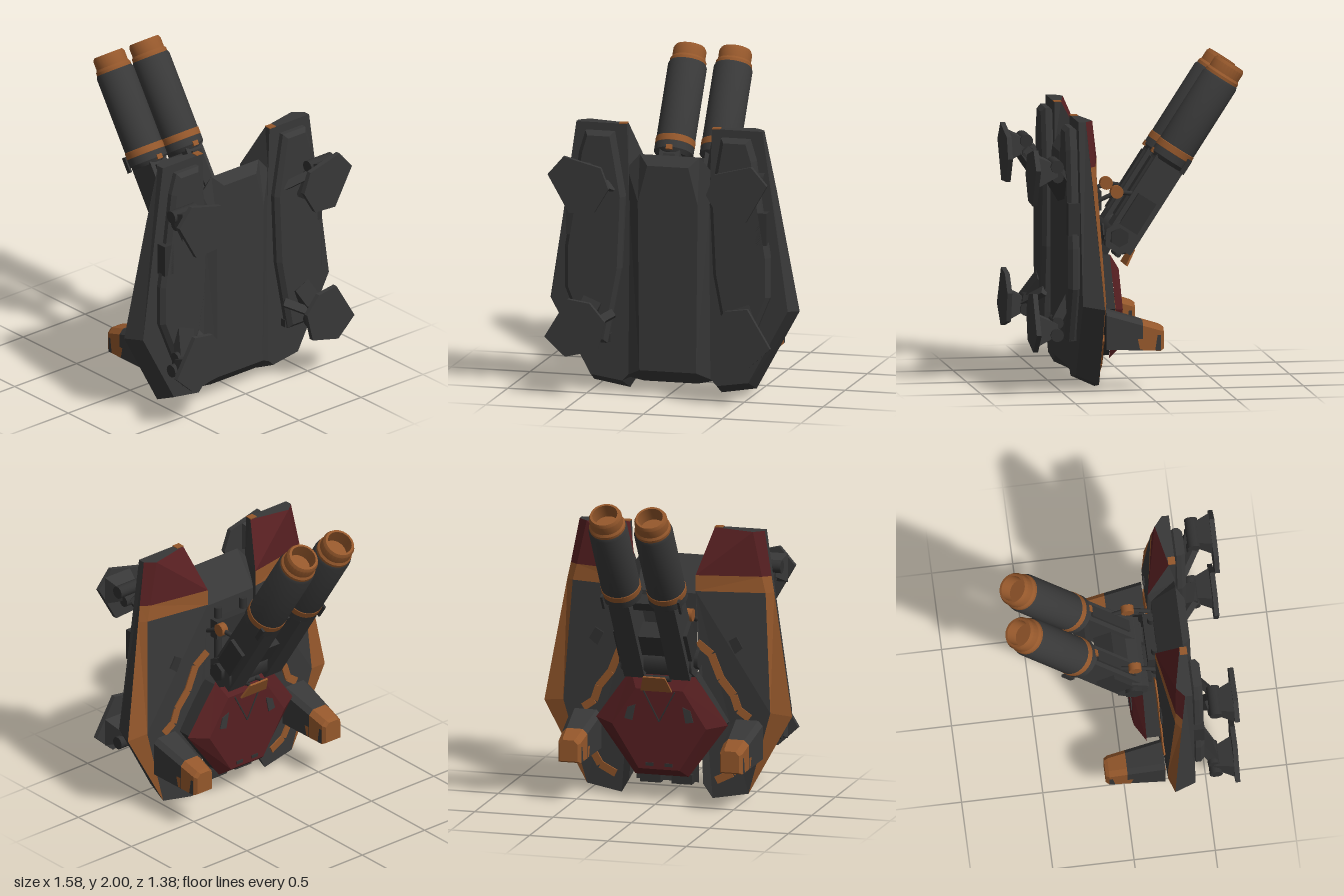
import * as THREE from 'three';
import { toCreasedNormals } from 'three/addons/utils/BufferGeometryUtils.js';

const mat = (name, color) => Object.assign(new THREE.MeshStandardMaterial({ color }), { name });
const GREY = mat('dark grey armour', 0x383838);
const DARK = mat('charcoal mechanics', 0x313131);
const ORANGE = mat('burnt orange', 0x94572b);
const RED = mat('deep red', 0x561f21);

function add(parent, name, geo, material, x = 0, y = 0, z = 0) {
  const m = new THREE.Mesh(geo, material);
  m.name = name;
  m.position.set(x, y, z);
  parent.add(m);
  return m;
}

// Flat faces: each entry is [corners, outward direction]; s mirrors across x
function faces(parent, name, material, list, s = 1) {
  const out = [];
  const v = p => new THREE.Vector3(p[0] * s, p[1], p[2]);
  for (const [pts, dir] of list) {
    for (let i = 1; i < pts.length - 1; i++) {
      const t = [v(pts[0]), v(pts[i]), v(pts[i + 1])];
      const n = t[1].clone().sub(t[0]).cross(t[2].clone().sub(t[0]));
      if (n.dot(v(dir)) < 0) t.reverse();
      t.forEach(p => out.push(p.x, p.y, p.z));
    }
  }
  const g = new THREE.BufferGeometry();
  g.setAttribute('position', new THREE.Float32BufferAttribute(out, 3));
  g.computeVertexNormals();
  return add(parent, name, g, material);
}

// Outline in x/y extruded from z0 to z1, with an optional chamfer on both rims
function plate(parent, name, material, pts, z0, z1, s = 1, bevel = 0) {
  const shape = new THREE.Shape(pts.map(p => new THREE.Vector2(p[0] * s, p[1])));
  const g = new THREE.ExtrudeGeometry(shape, {
    depth: z1 - z0 - 2 * bevel, bevelEnabled: bevel > 0, bevelSize: bevel,
    bevelThickness: bevel, bevelOffset: -bevel, bevelSegments: 1,
  });
  return add(parent, name, g, material, 0, 0, z0 + bevel);
}

// Box or round bar between two points
function bar(parent, name, material, a, b, w, d, round = false) {
  const A = new THREE.Vector3(...a), B = new THREE.Vector3(...b), L = A.distanceTo(B);
  const g = round ? new THREE.CylinderGeometry(w, w, L, 12) : new THREE.BoxGeometry(w, L, d);
  const m = add(parent, name, g, material);
  m.position.copy(A).add(B).multiplyScalar(0.5);
  m.quaternion.setFromUnitVectors(new THREE.Vector3(0, 1, 0), B.sub(A).normalize());
  return m;
}

const box = (p, name, m, w, h, d, x, y, z) => add(p, name, new THREE.BoxGeometry(w, h, d), m, x, y, z);

// Cylinder lying along x
function axle(parent, name, material, r, len, x, y, z, sides = 16) {
  const g = new THREE.CylinderGeometry(r, r, len, sides).rotateZ(Math.PI / 2);
  return add(parent, name, g, material, x, y, z);
}

function buildPod(parent, s) {
  const pod = new THREE.Group();
  pod.name = s > 0 ? 'leftPod' : 'rightPod';
  parent.add(pod);
  // back corners, top to bottom (outer, ridge, inner)
  const A = [.59, 1.675, .365], B = [.53, 1.675, .315], C = [.27, 1.675, .37];
  const D = [.64, 1.4, .345], E = [.59, 1.4, .305], F = [.19, 1.4, .23];
  const G = [.66, 1.3, .335], H = [.615, 1.3, .3], I = [.19, 1.3, .23];
  const J = [.79, .54, .28], K = [.66, .56, .25], L = [.515, .04, .27], M = [.29, 0, .26], N = [.235, .09, .24];
  // matching front corners
  const a = [.59, 1.675, .41], c = [.27, 1.675, .41], f = [.26, 1.4, .41];
  const j = [.75, .56, .41], l = [.5, .1, .41], m = [.3, .07, .41], n = [.235, .14, .41];
  const back = [0, 0, -1], side = [1, 0, 0], inner = [-1, 0, 0];
  faces(pod, 'podTip', RED, [[[B, E, F, C], back], [[A, D, E, B], [.5, 0, -1]]], s);
  faces(pod, 'podBand', ORANGE, [[[E, H, I, F], back], [[D, G, H, E], [.5, 0, -1]]], s);
  faces(pod, 'podEdge', ORANGE, [[[G, J, K, H], [.3, 0, -1]], [[J, L, K], [.3, 0, -1]]], s);
  faces(pod, 'podShell', GREY, [
    [[I, H, K, L, M, N], back],
    [[f, c, a, j, l, m, n], [0, 0, 1]],
    [[A, B, C, c, a], [0, 1, 0]],
    [[A, D, G, J, j, a], side], [[J, L, l, j], [1, -1, 0]], [[L, M, m, l], [0, -1, 0]],
    [[C, F, f, c], inner], [[F, I, N, n, f], inner], [[N, M, m, n], [-1, -1, 0]],
  ], s);
  // small painted corner at the inner upper end
  box(pod, 'cornerPaint', ORANGE, .05, .006, .045, s * .295, 1.677, .39);
  // raised belly armour
  plate(pod, 'bellyPlate', GREY, [[.34, 1.63], [.52, 1.63], [.56, 1.5], [.6, 1.2], [.65, .9], [.65, .65],
    [.51, .31], [.38, .31], [.29, .78], [.27, 1.23]], .4, .48, s, .025);
  box(pod, 'sideLocker', DARK, .07, .2, .09, s * .6, 1.08, .435);
  box(pod, 'lowerVent', DARK, .15, .05, .05, s * .44, .34, .42);
  // hatch and jagged trim on the deck
  plate(pod, 'deckHatch', DARK, [[.4, 1.0], [.45, 1.03], [.49, .96], [.44, .92]], .23, .24, s);
  const trim = [[.2, .98], [.29, .91], [.35, .76], [.43, .66], [.46, .57], [.53, .52]];
  const low = [[.54, .33], [.48, .27], [.42, .17], [.32, .12]];
  const onDeck = p => [s * p[0], p[1], .226 + (p[0] - .2) * .055];
  for (const path of [trim, low])
    for (let i = 1; i < path.length; i++)
      bar(pod, 'deckTrim', ORANGE, onDeck(path[i - 1]), onDeck(path[i]), .048, .009);

  // tapered stabiliser prong with a painted end
  const ring = z => {
    const t = (.24 - z) / .36, mix = (p, q) => p + (q - p) * t;
    const x0 = mix(.415, .445), x1 = mix(.615, .585), y0 = mix(.27, .25), y1 = mix(.51, .4);
    return [[x0, y0, z], [x1, y0, z], [x1, y1 - .03, z], [x1 - .03, y1, z], [x0 + .03, y1, z], [x0, y1 - .03, z]];
  };
  const tube = (p, q) => p.map((v, i) => {
    const k = (i + 1) % 6;
    return [[v, p[k], q[k], q[i]], [(v[0] + p[k][0]) / 2 - .515, (v[1] + p[k][1]) / 2 - .37, 0]];
  });
  const r0 = ring(.24), r1 = ring(.01), r2 = ring(-.1);
  const r3 = r2.map(p => [.515 + (p[0] - .515) * .8, .33 + (p[1] - .33) * .85, -.122]);
  faces(pod, 'prong', GREY, tube(r0, r1), s);
  faces(pod, 'prongTip', ORANGE, [...tube(r1, r2), ...tube(r2, r3), [r3, back]], s);
  // camouflage patches on both cheeks of the prong
  const cheek = (i, dx, pts) => [pts.map(([z, y]) => [ring(z)[i][0] + dx, y, z]), [dx, 0, 0]];
  const dark = [[-.065, .255], [-.1, .255], [-.1, .35], [-.08, .35], [-.075, .31]];
  const light = [[.045, .33], [.01, .33], [.01, .262], [.03, .264]];
  faces(pod, 'prongPatch', GREY, [cheek(1, .003, dark), cheek(0, -.003, dark)], s);
  faces(pod, 'prongSplash', ORANGE, [cheek(1, .003, light), cheek(0, -.003, light)], s);

  // landing feet
  const upper = [[.695, 1.395], [.595, 1.51], [.36, 1.45], [.31, 1.32], [.4, 1.17], [.56, 1.16]];
  const lower = [[.715, .38], [.585, .26], [.38, .31], [.335, .49], [.43, .6], [.57, .62]];
  for (const [name, pts, y, d] of [['upperFoot', upper, 1.38, -1], ['lowerFoot', lower, .4, 1]]) {
    const foot = new THREE.Group();
    foot.name = name;
    pod.add(foot);
    plate(foot, 'footPad', GREY, pts, .66, .69, s);
    // ankle wedge narrowing from the pad to the joint
    const wedge = (x, h, z) => [[.55 - x, y - h, z], [.55 + x, y - h, z], [.55 + x, y + h, z], [.55 - x, y + h, z]];
    const w0 = wedge(.1, .09, .661), w1 = wedge(.06, .035, .54);
    faces(foot, 'ankleWedge', GREY, [0, 1, 2, 3].map(i => {
      const k = (i + 1) % 4;
      return [[w0[i], w0[k], w1[k], w1[i]], [[0, -1, 0], [1, 0, 0], [0, 1, 0], [-1, 0, 0]][i]];
    }), s);
    axle(foot, 'ankleJoint', DARK, .04, .19, s * .55, y - d * .03, .55);
    axle(foot, 'kneeJoint', DARK, .036, .15, s * .53, y + d * .04, .54);
    bar(foot, 'leg', DARK, [s * .53, y + d * .03, .55], [s * .47, y + d * .17, .46], .12, .06);
    bar(foot, 'legBrace', GREY, [s * .52, y, .58], [s * .34, y + d * .1, .46], .05, .04);
  }
}

function buildHull(parent) {
  // central keel with chamfered flanks and a sloped upper end
  const P = (x, y, z) => [[-x, y, z], [x, y, z]];
  const a = P(.18, .15, .45), b = P(.13, 1.43, .45), t = P(.19, 1.49, .4), k = P(.19, 1.28, .25);
  const d = P(.28, .1, .4), e = P(.17, .07, .37), g = P(.2, .09, .27), w = P(.19, 1.2, .45);
  const quad = (p, q, dir) => [[p[0], p[1], q[1], q[0]], dir];
  const list = [quad(a, w, [0, 0, 1]), quad(w, b, [0, 0, 1]), quad(b, t, [0, 1, 1]), quad(t, k, [0, 1, -1]),
    quad(a, e, [0, -1, 1]), quad(e, g, [0, -1, 0]), quad(g, k, [0, 0, -1])];
  for (const i of [0, 1]) {
    const o = [i ? 1 : -1, 0, 0], f = [o[0] * .27, 1.4, .4];
    list.push([[a[i], w[i], f, d[i]], [o[0], 0, 1]], [[w[i], b[i], t[i], f], [o[0], 0, 1]],
      [[t[i], f, k[i]], o], [[a[i], d[i], e[i]], [0, -1, .3]], [[e[i], d[i], g[i]], [0, -1, 0]]);
  }
  faces(parent, 'keel', GREY, list);
  for (const x of [-.1, .1]) {
    bar(parent, 'deckPipe', DARK, [x, .85, .24], [x, 1.25, .24], .025, 0, true);
    box(parent, 'tailVent', DARK, .13, .06, .05, x, .11, .26);
  }
  box(parent, 'deckBlock', DARK, .3, .12, .08, 0, 1.12, .23);
  axle(parent, 'tailLamp', ORANGE, .022, .05, 0, .16, .23, 10);
}

function buildTurret(parent) {
  const turret = new THREE.Group();
  turret.name = 'turret';
  parent.add(turret);
  // six-sided shield
  const hex = (t, m, b, z, ty, my, by) => [[-t, ty, z], [t, ty, z], [m, my, z], [b, by, z], [-b, by, z], [-m, my, z]];
  const o = hex(.2, .42, .17, .15, .8, .49, .15), i = hex(.15, .3, .13, .085, .7, .47, .2);
  const rim = o.map((p, n) => [[p, o[(n + 1) % 6], i[(n + 1) % 6], i[n]], [0, 0, -1]]);
  faces(turret, 'shield', RED, [...rim, [i, [0, 0, -1]]]);
  plate(turret, 'shieldBase', DARK, hex(.21, .4, .17, 0, .79, .49, .17), .149, .25);
  for (const s of [-1, 1]) {
    plate(turret, 'shieldPatch', GREY, [[.15, .6], [.2, .58], [.22, .51], [.17, .5]], .079, .086, s);
    bar(turret, 'shieldSeam', DARK, [s * .1, .69, .083], [0, .5, .083], .008, .006);
    box(turret, 'shieldSlot', DARK, .05, .02, .006, s * .06, .23, .083);
    // elevation gear
    bar(turret, 'turretStrut', DARK, [s * .12, .76, .2], [s * .12, .9, .13], .06, .06);
    axle(turret, 'elevationWheel', ORANGE, .04, .045, s * .19, 1.18, .105);
    bar(turret, 'elevationRod', DARK, [s * .19, 1.12, .24], [s * .19, 1.18, .1], .014, 0, true);
    bar(turret, 'elevationArm', DARK, [s * .19, 1.18, .1], [s * .17, 1.16, -.03], .014, 0, true);
    bar(turret, 'flapRod', DARK, [s * .05, .775, .08], [s * .05, .79, 0], .01, 0, true);
  }
  axle(turret, 'flapHinge', DARK, .018, .16, 0, .775, .075, 10);
  const flap = plate(turret, 'flap', ORANGE, [[-.07, .055], [.07, .055], [.1, -.055], [-.1, -.055]], 0, .012);
  flap.position.set(0, .752, -.005);
  flap.rotation.x = -.5;

  // twin guns, local y runs along the barrels with the muzzles at 0
  const guns = new THREE.Group();
  guns.name = 'twinGuns';
  guns.position.set(-.0075, 1.95, -.61);
  guns.rotation.x = -.576;
  turret.add(guns);
  const lathe = (name, m, prof, x) => add(guns, name, toCreasedNormals(
    new THREE.LatheGeometry(prof.map(p => new THREE.Vector2(...p)), 28), .5), m, x);
  for (const s of [-1, 1]) {
    const x = s * .145;
    lathe('muzzle', ORANGE, [[.112, -.11], [.112, -.09], [.102, -.075], [.102, -.02], [.092, 0],
      [.078, 0], [.074, -.09], [0, -.09]], x);
    lathe('barrel', GREY, [[.12, -.615], [.12, -.125], [.112, -.108]], x);
    lathe('barrelBand', ORANGE, [[.12, -.655], [.123, -.652], [.123, -.612], [.119, -.608]], x);
    lathe('barrelCollar', GREY, [[0, -.725], [.1, -.725], [.122, -.7], [.122, -.65]], x);
    box(guns, 'receiver', GREY, .13, .62, .2, x, -1.01, -.005);
    box(guns, 'receiverRail', DARK, .07, .42, .02, x, -.95, .1);
    box(guns, 'receiverSide', DARK, .03, .22, .13, x + s * .075, -1.08, 0);
    box(guns, 'receiverClip', ORANGE, .04, .03, .03, x, -.7, .11);
    box(guns, 'sight', DARK, .015, .1, .03, x + s * .1, -.68, -.09);
    axle(guns, 'pivotCap', DARK, .06, .03, s * .235, -1.26, .02, 6);
  }
  axle(guns, 'pivot', GREY, .105, .45, 0, -1.26, .01, 6);
  box(guns, 'crossBlock', DARK, .2, .16, .13, 0, -1.08, 0);
  box(guns, 'crossBrace', DARK, .2, .06, .08, 0, -.76, 0);
}

export function createModel() {
  const model = new THREE.Group();
  model.name = 'gunPlatform';
  buildHull(model);
  for (const s of [1, -1]) buildPod(model, s);
  buildTurret(model);
  return model;
}
